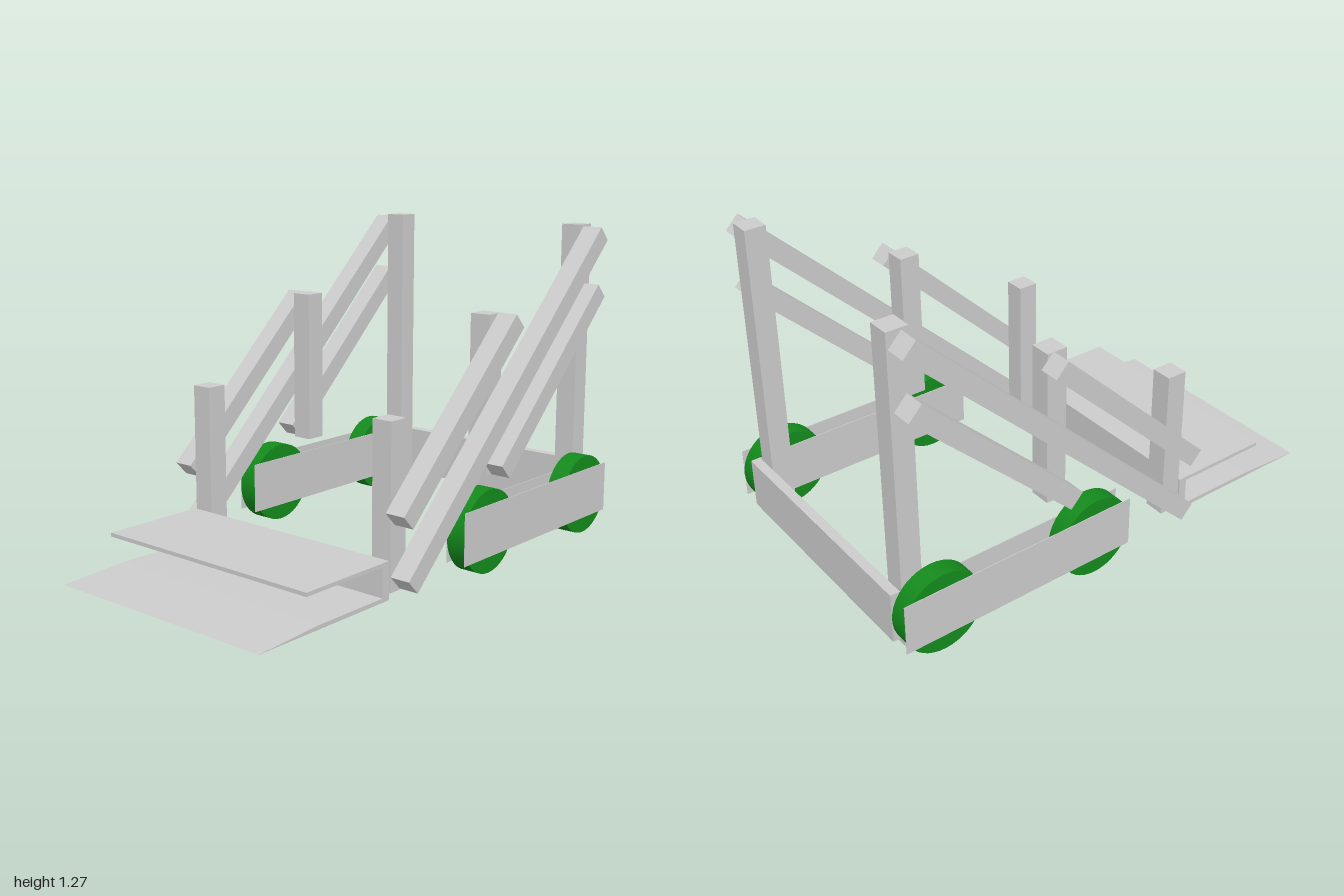
import * as THREE from 'three';

const grey = new THREE.MeshStandardMaterial({ color: 0xcccccc, flatShading: true });
const greyThin = new THREE.MeshStandardMaterial({ color: 0xcccccc, side: THREE.DoubleSide });
const green = new THREE.MeshStandardMaterial({ color: 0x148a1c });

// Box given by its min and max corners
function box(name, [x0, y0, z0], [x1, y1, z1]) {
  const mesh = new THREE.Mesh(new THREE.BoxGeometry(x1 - x0, y1 - y0, z1 - z0), grey);
  mesh.position.set((x0 + x1) / 2, (y0 + y1) / 2, (z0 + z1) / 2);
  mesh.name = name;
  return mesh;
}

// Square bar running between two [z, y] points in the side plane
function slantedBar(name, x, [z0, y0], [z1, y1]) {
  const length = Math.hypot(z1 - z0, y1 - y0);
  const mesh = new THREE.Mesh(new THREE.BoxGeometry(0.083, 0.075, length), grey);
  mesh.position.set(x, (y0 + y1) / 2, (z0 + z1) / 2);
  mesh.rotation.x = -Math.atan2(y0 - y1, z0 - z1);
  mesh.name = name;
  return mesh;
}

// Everything that repeats on each side; s is +1 or -1
function buildSide(s) {
  const side = new THREE.Group();
  side.name = s > 0 ? 'leftSide' : 'rightSide';

  // Upright posts: z centre, bottom, top
  const posts = { rearPost: [-0.91, 0.02, 1.27], middlePost: [-0.283, 0.35, 0.97], frontPost: [0.295, 0.035, 0.66] };
  for (const [name, [z, y0, y1]] of Object.entries(posts)) {
    const xs = [s * 0.415, s * 0.5].sort((a, b) => a - b);
    side.add(box(name, [xs[0], y0, z - 0.042], [xs[1], y1, z + 0.042]));
  }

  // Parallel lift arms
  const armX = s * 0.5415;
  side.add(slantedBar('longArm', armX, [0.31, 0.067], [-0.92, 1.235]));
  side.add(slantedBar('upperArm', armX, [0.34, 0.31], [-0.326, 0.946]));
  side.add(slantedBar('lowerArm', armX, [-0.252, 0.375], [-0.912, 1.005]));

  // Wheels held between two thin plates
  for (const [name, z] of [['frontWheel', -0.155], ['rearWheel', -0.835]]) {
    const wheel = new THREE.Mesh(new THREE.CylinderGeometry(0.163, 0.163, 0.077, 40), green);
    wheel.rotation.z = Math.PI / 2;
    wheel.position.set(armX, 0.165, z);
    wheel.name = name;
    side.add(wheel);
  }
  for (const [name, x] of [['innerPlate', 0.501], ['outerPlate', 0.582]]) {
    side.add(box(name, [s * x - 0.0015, 0.065, -0.995], [s * x + 0.0015, 0.27, 0.005]));
  }
  return side;
}

// Scoop: C-shaped section with a tapered lower lip, drawn as [z, y]
function buildScoop() {
  const profile = [
    [0.345, 0.012], [1, 0.012], [0.72, 0.028], [0.38, 0.028],
    [0.38, 0.143], [0.775, 0.143], [0.775, 0.158], [0.345, 0.158],
  ];
  const shape = new THREE.Shape(profile.map(([z, y]) => new THREE.Vector2(z, y)));
  const geometry = new THREE.ExtrudeGeometry(shape, { depth: 1, bevelEnabled: false });
  geometry.rotateY(-Math.PI / 2).translate(0.5, 0, 0);
  const scoop = new THREE.Mesh(geometry, greyThin);
  scoop.name = 'scoop';
  return scoop;
}

export function createModel() {
  const model = new THREE.Group();
  model.name = 'loader';
  model.add(buildSide(1), buildSide(-1));
  model.add(box('rearCrossbeam', [-0.5, 0.065, -0.998], [0.5, 0.27, -0.96]));
  model.add(buildScoop());
  return model;
}
